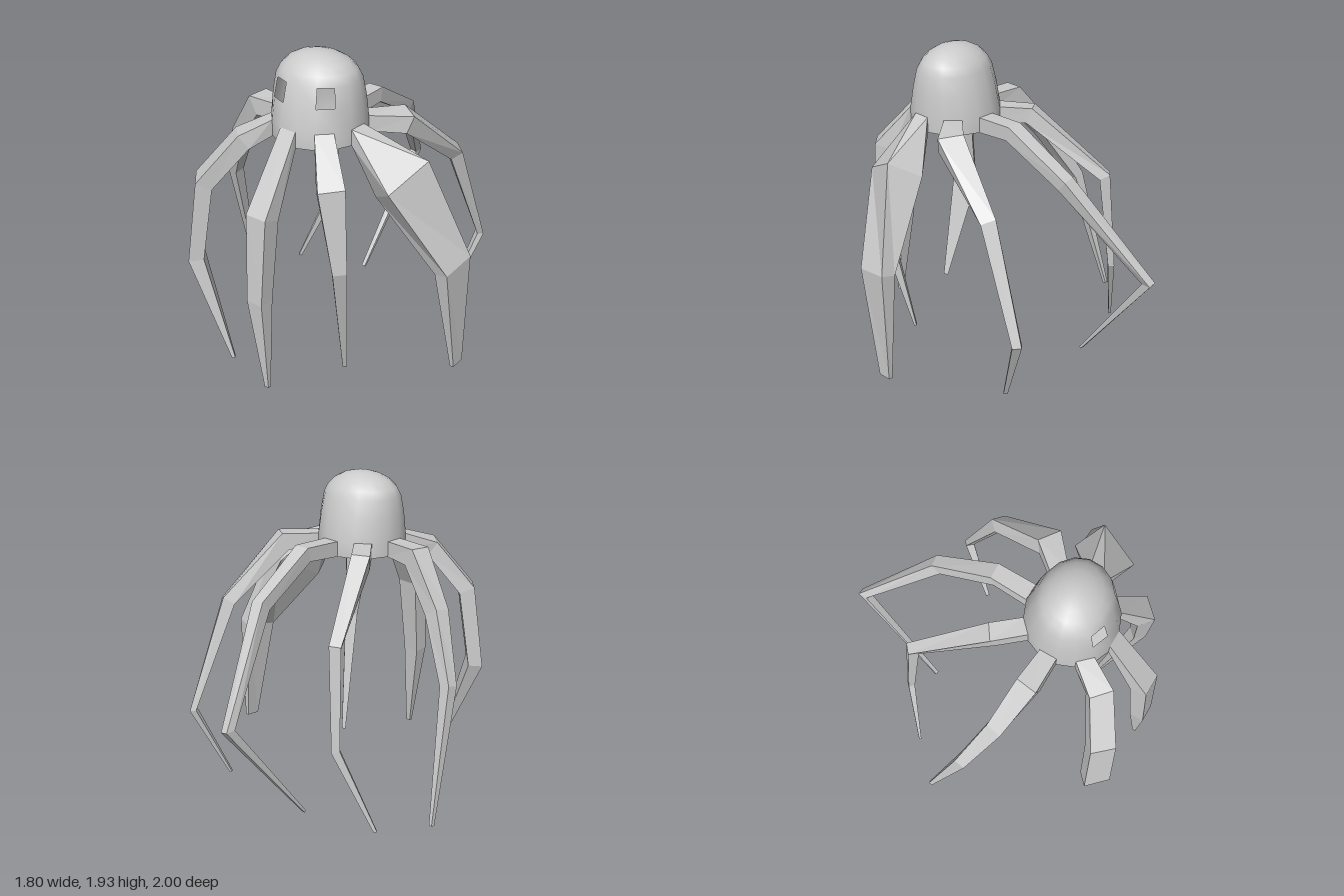
import * as THREE from 'three';
import { mergeVertices } from 'three/addons/utils/BufferGeometryUtils.js';

const SIDES = 16, STEP = (Math.PI * 2) / SIDES;
const CX = 0.01, CZ = 0.4, R = 0.275, Y0 = 1.46, Y1 = 1.555;

const smooth = new THREE.MeshStandardMaterial({ color: 0xcccccc, side: THREE.DoubleSide });
const faceted = new THREE.MeshStandardMaterial({ color: 0xcccccc, flatShading: true, side: THREE.DoubleSide });

// Domed head: a 16-sided shell with two square eye openings, narrower in depth towards the top
function makeHead() {
  const profile = [
    [R, Y0], [R, Y1], [0.265, 1.69], [0.248, 1.8], [0.222, 1.85],
    [0.18, 1.89], [0.12, 1.92], [0.06, 1.935], [0, 1.94],
  ].map(([r, y]) => new THREE.Vector2(r, y));
  let geo = new THREE.LatheGeometry(profile, SIDES);
  const rows = profile.length, kept = [], idx = geo.index.array;
  for (let k = 0; k < idx.length; k += 3) {
    const tri = [idx[k], idx[k + 1], idx[k + 2]];
    const column = Math.min(...tri.map((v) => Math.floor(v / rows)));
    const row = Math.min(...tri.map((v) => v % rows));
    const isEye = row === 2 && (column === 1 || column === SIDES - 2);
    if (!isEye) kept.push(...tri);
  }
  geo.setIndex(kept);
  const p = geo.attributes.position;
  for (let i = 0; i < p.count; i++) {
    const t = Math.max(0, (p.getY(i) - Y1) / (1.9 - Y1));
    p.setZ(i, p.getZ(i) * (1 - 0.21 * Math.min(1, t)));
  }
  geo.deleteAttribute('normal');
  geo.deleteAttribute('uv');
  geo = mergeVertices(geo);
  geo.computeVertexNormals();
  const head = new THREE.Mesh(geo, smooth);
  head.name = 'head';
  head.position.set(CX, 0, CZ);
  return head;
}

// Flat underside of the head
function makeUnderside() {
  const base = new THREE.Mesh(new THREE.CircleGeometry(R, SIDES), faceted);
  base.name = 'underside';
  base.rotation.x = Math.PI / 2;
  base.position.set(CX, Y0, CZ);
  return base;
}

// Tentacle growing out of one face of the head.
// Sections are [x, y, z, width, thickness, roll], from the first bend to the tip.
function makeTentacle(face, sections) {
  const a0 = face * STEP, a1 = a0 + STEP, mid = a0 + STEP / 2;
  const rim = (a, y) => new THREE.Vector3(CX + R * Math.sin(a), y, CZ + R * Math.cos(a));
  const rings = [[rim(a0, Y1), rim(a1, Y1), rim(a1, Y0), rim(a0, Y0)]];
  const centres = [
    new THREE.Vector3(CX + R * Math.sin(mid), (Y0 + Y1) / 2, CZ + R * Math.cos(mid)),
    ...sections.map(([x, y, z]) => new THREE.Vector3(x, y, z)),
  ];
  const across = new THREE.Vector3(Math.cos(mid), 0, -Math.sin(mid));
  sections.forEach(([, , , width, thick, roll = 0], k) => {
    const c = centres[k + 1];
    const tangent = c.clone().sub(centres[k]).normalize();
    if (centres[k + 2]) tangent.add(centres[k + 2].clone().sub(c).normalize()).normalize();
    const w = across.clone().addScaledVector(tangent, -across.dot(tangent)).normalize();
    w.applyAxisAngle(tangent, roll);
    const u = tangent.clone().cross(w);
    rings.push([[-1, 1], [1, 1], [1, -1], [-1, -1]].map(([i, j]) =>
      c.clone().addScaledVector(w, (i * width) / 2).addScaledVector(u, (j * thick) / 2)));
  });
  const index = [];
  for (let k = 0; k < rings.length - 1; k++) {
    for (let i = 0; i < 4; i++) {
      const j = (i + 1) % 4, a = k * 4, b = a + 4;
      index.push(a + i, b + j, a + j, a + i, b + i, b + j);
    }
  }
  const end = (rings.length - 1) * 4;
  index.push(end, end + 2, end + 1, end, end + 3, end + 2);
  const indexed = new THREE.BufferGeometry().setFromPoints(rings.flat());
  indexed.setIndex(index);
  const geo = indexed.toNonIndexed();
  geo.computeVertexNormals();
  return new THREE.Mesh(geo, faceted);
}

// Eight tentacles, one on every second face, each with its own pose
const tentacles = {
  frontTentacle: [-1, [
    [-0.08, 1.12, 0.9, 0.14, 0.11], [-0.09, 0.6, 0.95, 0.11, 0.09], [-0.05, 0.02, 0.97, 0.03, 0.02]]],
  frontLeftTentacle: [1, [
    [0.27, 1.3, 0.76, 0.15, 0.11], [0.325, 0.82, 0.775, 0.08, 0.08], [0.26, 0.02, 0.59, 0.025, 0.015]]],
  leftTentacle: [3, [
    [0.54, 1.29, 0.44, 0.3, 0.22, 0.5], [0.835, 0.78, 0.37, 0.22, 0.09, 0.1], [0.87, 0.08, 0.325, 0.09, 0.025]]],
  backLeftTentacle: [5, [
    [0.415, 1.5, 0.13, 0.15, 0.11], [0.575, 1.17, -0.24, 0.09, 0.08],
    [0.675, 0.5, -0.5, 0.055, 0.04], [0.535, 0.02, -0.325, 0.025, 0.015]]],
  backTentacle: [7, [
    [0.11, 1.52, -0.09, 0.1, 0.09], [0.14, 1.3, -0.47, 0.08, 0.08],
    [0.005, 0.74, -0.965, 0.05, 0.06], [-0.14, 0.02, -0.455, 0.025, 0.015]]],
  backRightTentacle: [9, [
    [-0.23, 1.5, 0.01, 0.11, 0.1], [-0.36, 1.15, -0.45, 0.07, 0.07],
    [-0.4, 0.53, -0.5, 0.05, 0.04], [-0.615, 0.01, -0.395, 0.02, 0.015]]],
  rightTentacle: [11, [
    [-0.44, 1.5, 0.3, 0.13, 0.12], [-0.65, 1.22, 0.19, 0.1, 0.1],
    [-0.83, 0.85, 0.03, 0.07, 0.07], [-0.885, 0.05, -0.205, 0.025, 0.02]]],
  frontRightTentacle: [13, [
    [-0.33, 1.45, 0.68, 0.14, 0.1], [-0.54, 1.18, 0.78, 0.15, 0.1],
    [-0.61, 0.68, 0.81, 0.16, 0.09], [-0.38, 0.02, 0.825, 0.03, 0.02]]],
};

export function createModel() {
  const model = new THREE.Group();
  model.name = 'octopus';
  model.add(makeHead(), makeUnderside());
  for (const [name, [face, sections]] of Object.entries(tentacles)) {
    const tentacle = makeTentacle(face, sections);
    tentacle.name = name;
    model.add(tentacle);
  }
  return model;
}
